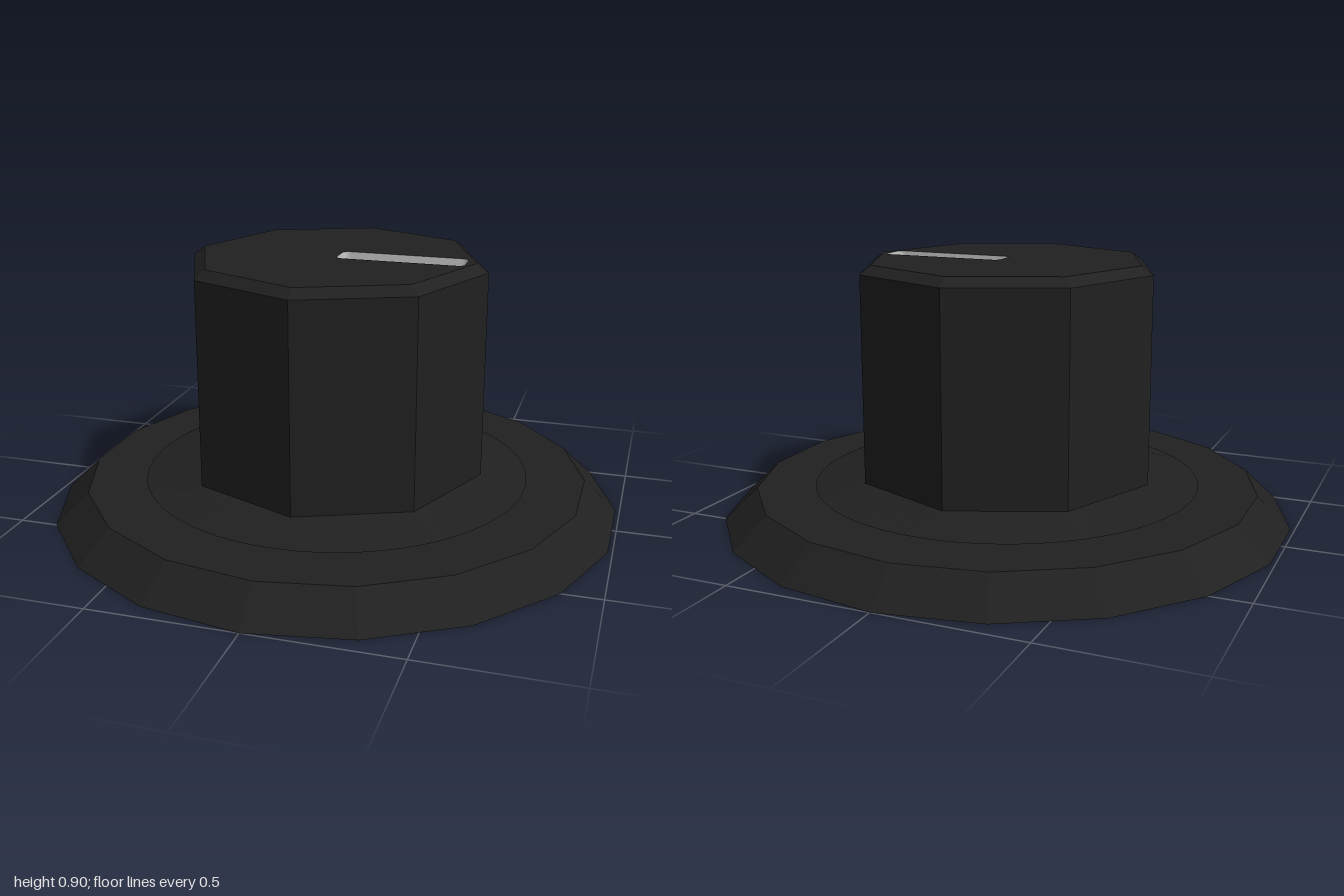
import * as THREE from 'three';

const dark = new THREE.MeshStandardMaterial({ color: 0x202020, flatShading: true });
const pale = new THREE.MeshStandardMaterial({ color: 0xcccccc, flatShading: true });

const TOP = 0.905, SHOULDER = 0.875, NECK = 0.155, R = 0.525, R_TOP = 0.485;
const SLOT_FLOOR = 0.875;

function add(group, name, geometry, material, y = 0) {
  const mesh = new THREE.Mesh(geometry, material);
  mesh.name = name;
  mesh.position.y = y;
  group.add(mesh);
}

// Cylinder or cone between two heights
function ring(rTop, rBottom, y0, y1, sides, open) {
  return new THREE.CylinderGeometry(rTop, rBottom, y1 - y0, sides, 1, open).translate(0, (y0 + y1) / 2, 0);
}

// Rounded outline of the pointer slot, counter-clockwise
function slotPoints() {
  const x0 = 0.01, x1 = 0.45, h = 0.054, r = 0.022;
  const corners = [[x1 - r, h - r], [x0 + r, h - r], [x0 + r, r - h], [x1 - r, r - h]];
  const points = [];
  corners.forEach(([cx, cy], i) => {
    for (let k = 0; k <= 4; k++) {
      const a = (i + k / 4) * Math.PI / 2;
      points.push(new THREE.Vector2(cx + r * Math.cos(a), cy + r * Math.sin(a)));
    }
  });
  return points;
}

// Inward-facing wall that follows the slot outline
function slotWall(points) {
  const position = [], index = [], n = points.length;
  points.forEach((p, i) => {
    position.push(p.x, TOP, -p.y, p.x, SLOT_FLOOR, -p.y);
    const a = 2 * i, b = 2 * ((i + 1) % n);
    index.push(a, b, a + 1, b, b + 1, a + 1);
  });
  const geometry = new THREE.BufferGeometry();
  geometry.setAttribute('position', new THREE.Float32BufferAttribute(position, 3));
  geometry.setIndex(index);
  geometry.computeVertexNormals();
  return geometry;
}

// Flange that blends from a round rim to the octagonal grip
function flangeGeometry() {
  const geometry = ring(R, 0.68, 0.117, NECK, 64, false);
  const p = geometry.attributes.position;
  const step = Math.PI / 4;
  for (let i = 0; i < p.count; i++) {
    if (p.getY(i) < NECK - 0.01) continue;
    const a = Math.atan2(p.getX(i), p.getZ(i)) + 2 * Math.PI;
    const k = Math.cos(step / 2) / Math.cos((a % step) - step / 2);
    p.setX(i, p.getX(i) * k);
    p.setZ(i, p.getZ(i) * k);
  }
  geometry.computeVertexNormals();
  return geometry;
}

export function createModel() {
  const knob = new THREE.Group();
  knob.name = 'knob';

  // Skirt, and the short stem that holds the grip just clear of it
  add(knob, 'skirt', ring(0.885, 1, 0, 0.11, 18, false), dark);
  add(knob, 'stem', ring(0.2, 0.2, 0.1, 0.125, 24, true), dark);

  // Octagonal grip
  add(knob, 'flange', flangeGeometry(), dark);
  add(knob, 'grip', ring(R, R, NECK, SHOULDER, 8, true), dark);
  add(knob, 'bevel', ring(R_TOP, R, SHOULDER, TOP, 8, true), dark);

  // Top face, cut out around the slot
  const slot = slotPoints();
  const face = new THREE.Shape();
  for (let i = 0; i < 8; i++) {
    const a = i * Math.PI / 4;
    face[i ? 'lineTo' : 'moveTo'](R_TOP * Math.cos(a), R_TOP * Math.sin(a));
  }
  face.closePath();
  face.holes.push(new THREE.Path(slot));
  add(knob, 'topFace', new THREE.ShapeGeometry(face).rotateX(-Math.PI / 2), dark, TOP);

  // Recessed pointer
  add(knob, 'pointerFloor', new THREE.ShapeGeometry(new THREE.Shape(slot)).rotateX(-Math.PI / 2), pale, SLOT_FLOOR);
  add(knob, 'pointerWall', slotWall(slot), pale);

  return knob;
}
